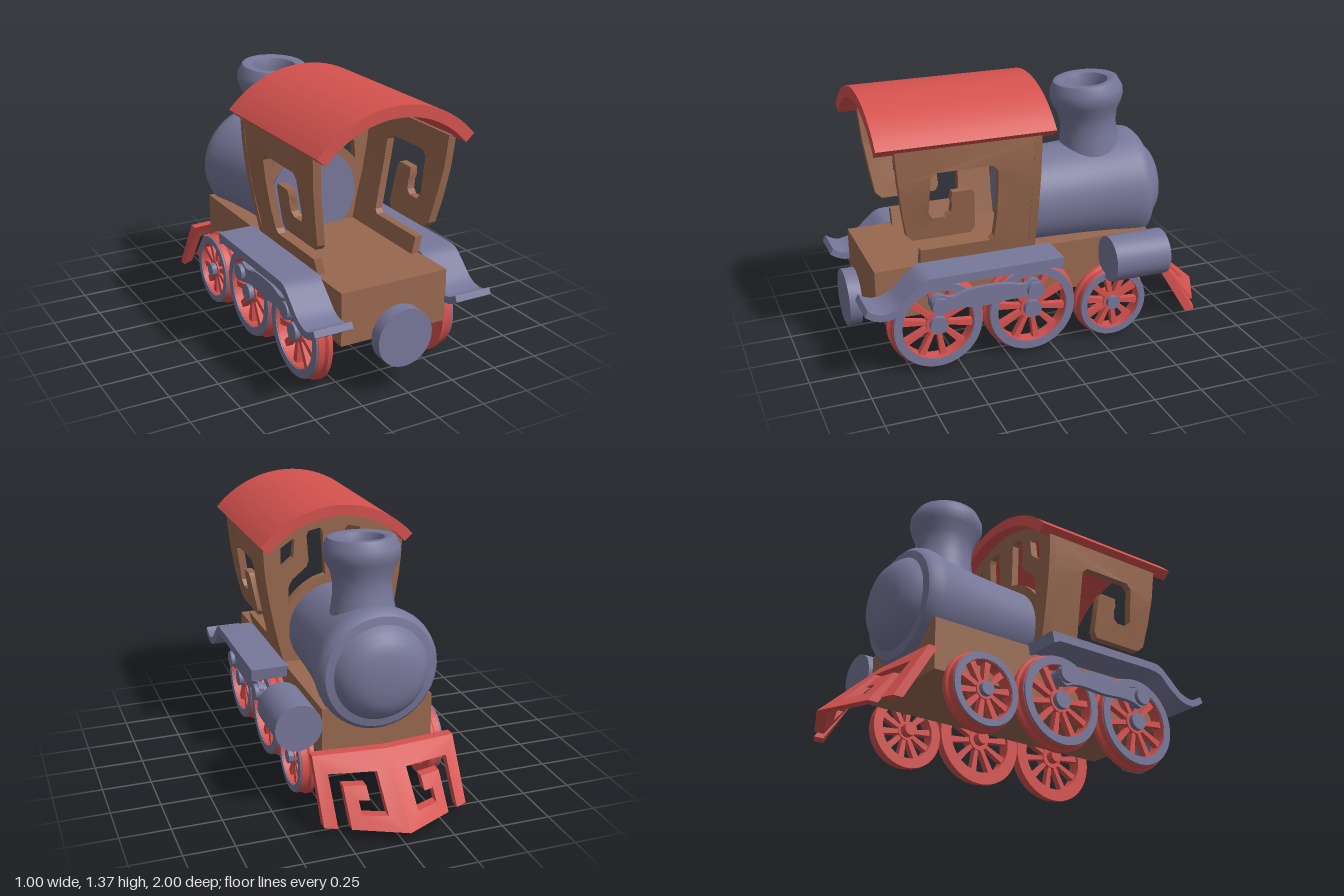
import * as THREE from 'three';
import { toCreasedNormals } from 'three/addons/utils/BufferGeometryUtils.js';

const material = (name, color) => Object.assign(new THREE.MeshStandardMaterial({ color }), { name });

export function createModel() {
  const red = material('red paint', 0xd4524e);
  const grey = material('blue grey metal', 0x77779a);
  const brown = material('brown wood', 0x98684f);
  const model = new THREE.Group();
  const engine = new THREE.Group();
  engine.name = 'locomotive';
  engine.position.x = -0.025; // the single side cylinder shifts the centre line
  model.add(engine);

  const add = (parent, name, geo, mat, x = 0, y = 0, z = 0) => {
    const mesh = new THREE.Mesh(toCreasedNormals(geo, 0.6), mat);
    mesh.name = name;
    mesh.position.set(x, y, z);
    parent.add(mesh);
    return mesh;
  };
  const toShape = (pts) => new THREE.Shape(pts.map(([x, y]) => new THREE.Vector2(x, y)));
  const extrude = (shape, depth) =>
    new THREE.ExtrudeGeometry(shape, { depth, bevelEnabled: false, curveSegments: 20 });
  // outline given as [z, y], thickness running along +x
  const sidePlate = (pts, depth) => extrude(toShape(pts.map(([z, y]) => [-z, y])), depth).rotateY(Math.PI / 2);
  const lathe = (pts, segments = 40) =>
    new THREE.LatheGeometry(pts.map(([r, h]) => new THREE.Vector2(r, h)), segments);
  const warp = (geo, rule) => {
    const p = geo.attributes.position;
    for (let i = 0; i < p.count; i++) p.setXYZ(i, ...rule(p.getX(i), p.getY(i), p.getZ(i)));
    return geo;
  };
  const pinX = (r, length) => new THREE.CylinderGeometry(r, r, length, 24).rotateZ(-Math.PI / 2);
  const spline = (pts, n) =>
    new THREE.SplineCurve(pts.map(([x, y]) => new THREE.Vector2(x, y))).getPoints(n).map((p) => [p.x, p.y]);

  // chassis and rear buffer
  add(engine, 'chassis', new THREE.BoxGeometry(0.57, 0.265, 1.46), brown, 0, 0.4075, 0.17);
  add(engine, 'rearBuffer', new THREE.CylinderGeometry(0.145, 0.145, 0.065, 40).rotateX(Math.PI / 2), grey, 0, 0.295, 0.967);

  // boiler with domed nose
  add(engine, 'boiler', lathe([
    [0, -0.12], [0.245, -0.12], [0.255, 0.1], [0.265, 0.25], [0.283, 0.4], [0.303, 0.5], [0.307, 0.54],
    [0.3, 0.575], [0.28, 0.597], [0.24, 0.605], [0.225, 0.63], [0.212, 0.645], [0.18, 0.675],
    [0.13, 0.695], [0.07, 0.704], [0, 0.707],
  ], 48).rotateX(-Math.PI / 2), grey, 0, 0.707, 0);

  // hollow smokestack, leaning slightly
  const stack = add(engine, 'smokestack', lathe([
    [0.175, -0.05], [0.16, 0.05], [0.148, 0.12], [0.145, 0.18], [0.155, 0.24], [0.18, 0.29], [0.19, 0.325],
    [0.188, 0.36], [0.165, 0.405], [0.145, 0.41], [0.115, 0.4], [0.1, 0.36], [0.1, 0.15], [0, 0.15],
  ]), grey, 0, 0.9, -0.35);
  stack.rotation.x = 0.08;

  // single side cylinder
  add(engine, 'sideCylinder', new THREE.CylinderGeometry(0.118, 0.118, 0.3, 36).rotateX(Math.PI / 2), grey, 0.407, 0.467, -0.43);

  // cab walls flare outwards with height
  const flare = (y) => 0.28 + 0.1 * (1 - Math.pow(Math.max(0, 1 - (y - 0.54) / 0.62), 1.6));
  const arcY = 0.828;
  const heights = [0.54, 0.64, 0.74, 0.85, 0.95, 1.05, 1.16];
  const outline = heights.map((y) => [flare(y), y]);
  for (let i = 1; i < 20; i++) {
    const a = 0.81 - (1.62 * i) / 20;
    outline.push([0.495 * Math.sin(a), arcY + 0.495 * Math.cos(a)]);
  }
  heights.slice().reverse().forEach((y) => outline.push([-flare(y), y]));
  const wall = toShape(outline);
  for (const s of [1, -1]) {
    const hole = (pts) => wall.holes.push(new THREE.Path(pts.map(([x, y]) => new THREE.Vector2(s * x, y))));
    hole([[0.288, 1.16], [0.22, 1.205], [0.213, 1.195], [0.222, 1.105], [0.282, 1.057], [0.288, 1.065]]);
    hole([[0.148, 1.215], [0.138, 1.238], [0.075, 1.25], [0.062, 1.235], [0.048, 0.998], [0.105, 0.982],
      [0.16, 0.952], [0.21, 0.91], [0.251, 0.865], [0.246, 0.955], [0.225, 0.99], [0.15, 1.05], [0.138, 1.08]]);
  }
  add(engine, 'cabFrontWall', extrude(wall, 0.04), brown, 0, 0, 0.07);

  // curved roof
  const roof = new THREE.Shape();
  const half = 0.847;
  roof.absarc(0, arcY, 0.547, Math.PI / 2 - half, Math.PI / 2 + half, false);
  roof.absarc(0, arcY, 0.49, Math.PI / 2 + half, Math.PI / 2 - half, true);
  add(engine, 'roof', extrude(roof, 0.885), red, 0, 0, 0.008);

  // one half of the mirrored parts, built on the +x side
  const buildHalf = (name) => {
    const g = new THREE.Group();
    g.name = name;

    // cab side with scroll cut-out and low sill
    const side = sidePlate([
      [0.07, 0.54], [0.67, 0.54], [0.67, 0.625], [0.315, 0.625], [0.295, 0.645], [0.288, 0.75], [0.288, 0.9],
      [0.292, 1.01], [0.32, 1.04], [0.6, 1.04], [0.628, 1.015], [0.637, 0.83], [0.615, 0.8],
      [0.55, 0.8], [0.525, 0.82], [0.52, 0.865], [0.528, 0.89], [0.52, 0.928], [0.425, 0.93], [0.41, 0.905],
      [0.4, 0.72], [0.42, 0.69], [0.71, 0.69], [0.742, 0.72], [0.765, 0.85], [0.785, 1.0], [0.8, 1.165],
      [0.07, 1.165], [0.07, 0.95], [0.07, 0.74],
    ], 0.04);
    add(g, 'cabSide', warp(side, (x, y, z) => [flare(y) - 0.04 + x, y, z]), brown);

    // running board sweeping down to a curled step
    const top = [[-0.01, 0.55], ...spline([[0.62, 0.552], [0.7, 0.545], [0.77, 0.49], [0.84, 0.43],
      [0.91, 0.408], [0.955, 0.42], [0.985, 0.44]], 24)];
    const under = spline([[1, 0.41], [0.96, 0.385], [0.91, 0.372], [0.84, 0.385], [0.76, 0.44],
      [0.7, 0.495], [0.62, 0.51]], 24);
    add(g, 'runningBoard', sidePlate([...top, ...under, [0.04, 0.505], [0, 0.488]], 0.197), grey, 0.28);

    // spoked wheels
    for (const [r, z] of [[0.247, 0.615], [0.247, 0.12], [0.197, -0.33]]) {
      const w = new THREE.Group();
      w.name = 'wheel';
      w.position.set(0.305, r + 0.002, z);
      g.add(w);
      add(w, 'rim', lathe([[0.74 * r, 0], [r, 0], [r, 0.022], [0.95 * r, 0.034], [0.94 * r, 0.066],
        [0.92 * r, 0.07], [0.74 * r, 0.07], [0.74 * r, 0]], 44).rotateZ(-Math.PI / 2), red);
      add(w, 'tyreFace', lathe([[0.75 * r, 0.068], [0.93 * r, 0.068], [0.92 * r, 0.076], [0.75 * r, 0.076],
        [0.75 * r, 0.068]], 44).rotateZ(-Math.PI / 2), grey);
      for (let i = 0; i < 10; i++) {
        const spoke = warp(new THREE.BoxGeometry(0.035, 0.72 * r, 0.026),
          (x, y, sz) => [x, y, sz * (1 + (y / r) * 0.9)]).translate(0.035, 0.41 * r, 0);
        add(w, 'spoke', spoke.rotateX((i + 0.25) * Math.PI / 5), red);
      }
      add(w, 'hub', pinX(0.24 * r, 0.05), red, 0.035);
      add(w, 'hubCap', pinX(r > 0.2 ? 0.045 : 0.035, 0.04), grey, 0.067);
      add(w, 'axleStub', pinX(0.035, 0.05), red, -0.01);
    }

    // coupling rod with end pins
    const rodTop = spline([[0.655, 0.4], [0.615, 0.425], [0.575, 0.412], [0.54, 0.408], [0.46, 0.428], [0.3675, 0.433],
      [0.275, 0.428], [0.195, 0.408], [0.16, 0.412], [0.12, 0.425], [0.08, 0.4]], 32);
    const rodUnder = spline([[0.08, 0.345], [0.12, 0.315], [0.165, 0.33], [0.24, 0.338], [0.3675, 0.33],
      [0.495, 0.338], [0.57, 0.33], [0.615, 0.315], [0.655, 0.345]], 28);
    add(g, 'couplingRod', sidePlate([...rodTop, ...rodUnder], 0.025), grey, 0.388);
    for (const z of [0.615, 0.12]) add(g, 'rodPin', pinX(0.043, 0.085), grey, 0.392, 0.37, z);

    // half of the wedge-shaped cowcatcher with a scroll cut
    const blade = extrude(toShape([
      [0, 0.055], [0.247, 0.055], [0.247, 0.22], [0.14, 0.22], [0.14, 0.165], [0.19, 0.165], [0.19, 0.11],
      [0.075, 0.11], [0.075, 0.268], [0.305, 0.268], [0.305, 0.055], [0.365, 0.055], [0.365, 0.345], [0, 0.345],
    ]), 0.05);
    add(g, 'cowcatcher', warp(blade, (x, y, z) => {
      const t = 0.345 - y;
      return [x, y, -0.68 - 1.1 * t + x * (0.1 + 1.34 * t) + z];
    }), red);
    return g;
  };
  engine.add(buildHalf('leftSide'));
  const right = buildHalf('rightSide');
  right.scale.x = -1;
  engine.add(right);
  return model;
}
